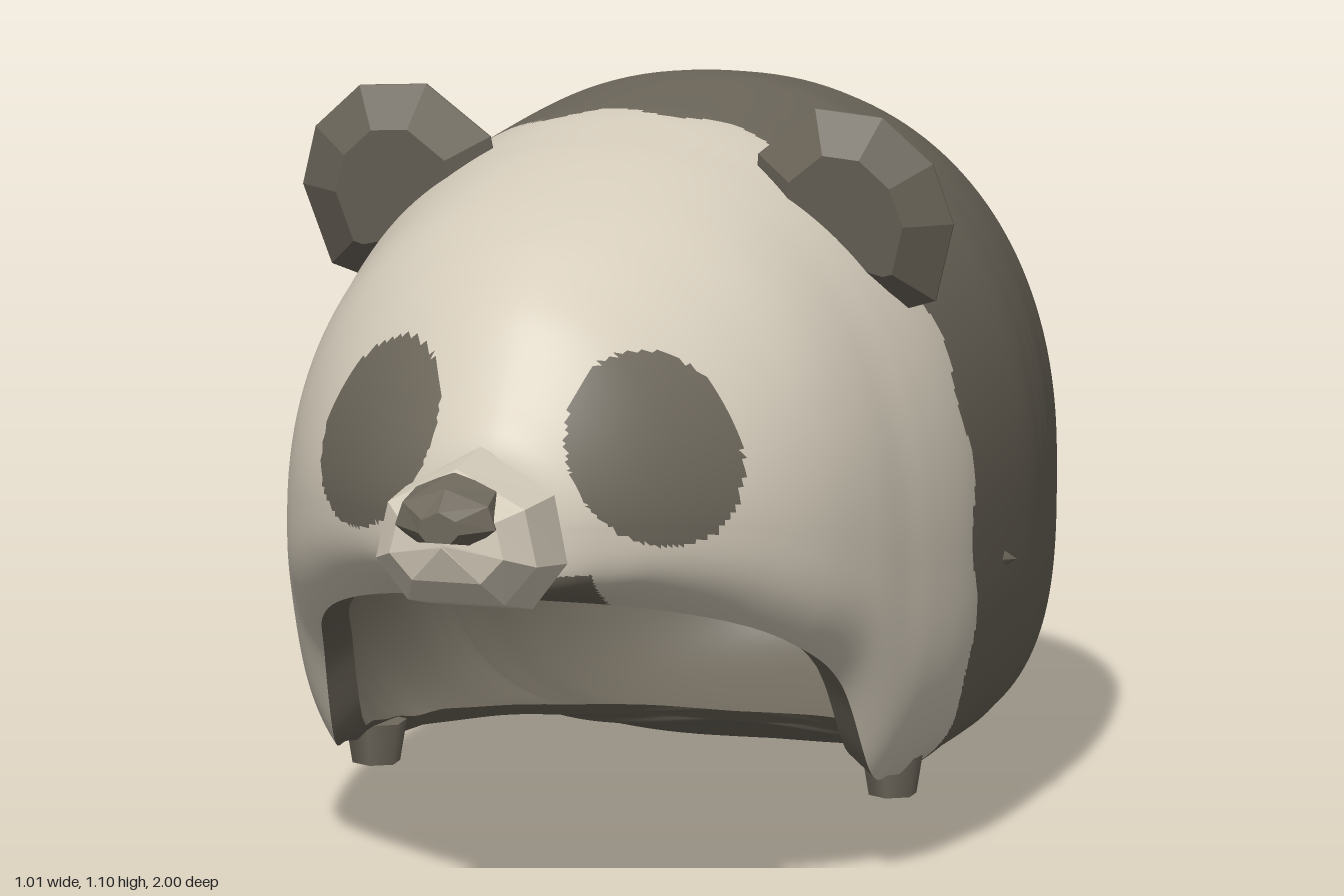
import * as THREE from 'three';

const light = new THREE.MeshStandardMaterial({ color: 0xd8cfbe, side: THREE.DoubleSide });
light.name = 'cream fur';
const dark = new THREE.MeshStandardMaterial({ color: 0x6e685c, side: THREE.DoubleSide });
dark.name = 'dark fur';

// Stations along the body: z, half width, top, widest height, bottom, half width of the opening
const stations = [
  [-1, 0, 0.42, 0.4, 0.38, 0], [-0.985, 0.11, 0.59, 0.42, 0.22, 0],
  [-0.94, 0.21, 0.73, 0.43, 0.09, 0], [-0.82, 0.35, 0.87, 0.44, 0.02, 0],
  [-0.68, 0.42, 0.96, 0.45, 0, 0], [-0.56, 0.45, 1.005, 0.45, 0.015, 0],
  [-0.5, 0.463, 1.02, 0.45, 0.025, 0], [-0.48, 0.466, 1.025, 0.45, 0.03, 0.13],
  [-0.43, 0.473, 1.035, 0.45, 0.035, 0.23], [-0.33, 0.483, 1.05, 0.45, 0.05, 0.3],
  [-0.1, 0.488, 1.06, 0.45, 0.08, 0.37], [0, 0.487, 1.06, 0.45, 0.12, 0.4],
  [0.1, 0.475, 1.05, 0.46, 0.14, 0.405], [0.18, 0.46, 1.04, 0.47, 0.16, 0.4],
  [0.28, 0.44, 1.02, 0.5, 0.31, 0.385], [0.4, 0.4, 0.99, 0.54, 0.39, 0.35],
  [0.5, 0.345, 0.955, 0.58, 0.44, 0.28], [0.6, 0.265, 0.895, 0.6, 0.475, 0.16],
  [0.68, 0.18, 0.79, 0.61, 0.495, 0], [0.73, 0.1, 0.72, 0.61, 0.52, 0],
  [0.745, 0, 0.62, 0.61, 0.6, 0],
];
const curveOf = (a, b, c) => new THREE.CatmullRomCurve3(
  stations.map((s) => new THREE.Vector3(s[a], s[b], s[c])), false, 'catmullrom', 0.5);
const outlineCurve = curveOf(0, 1, 2);
const openingCurve = curveOf(3, 4, 5);
const smooth = THREE.MathUtils.smoothstep;

// Point on the shell: u runs back to front, s from -1 (right rim) over the top to 1 (left rim)
function shellPoint(u, s, inner) {
  const { x: z, y: w0, z: top } = outlineCurve.getPoint(u);
  const { x: mid, y: bottom, z: r0 } = openingCurve.getPoint(u);
  const w = Math.max(0, w0);
  const r = Math.min(Math.max(0, r0), w);
  const t = Math.abs(s) * 2;
  let x, y;
  if (t <= 1) {
    // Upper half, flatter towards the face
    const e = 0.92 + 0.22 * smooth(z, 0.3, 0.6);
    const a = t * Math.PI / 2;
    x = w * Math.sin(a) ** e;
    y = mid + (top - mid) * Math.max(0, Math.cos(a)) ** e;
  } else {
    // Lower half, cut off at the opening, with the back rim curling up
    const e = 0.64;
    const rimAngle = w > 0 ? Math.acos((r / w) ** (1 / e)) : Math.PI / 2;
    const a = (t - 1) * rimAngle;
    const lift = 0.045 * smooth(z, -0.75, -0.48) * (1 - smooth(z, -0.15, 0.05));
    x = w * Math.max(0, Math.cos(a)) ** e;
    y = mid - (mid - bottom) * (Math.sin(a) / Math.max(0.01, Math.sin(rimAngle))) ** e + lift * (t - 1) ** 4;
  }
  const k = inner ? 0.95 - 0.05 * smooth(z, -0.4, 0.1) : 1;
  return [Math.sign(s) * x * k, mid + (y - mid) * k, inner ? z * 0.96 : z];
}

// Grid surface; isDark sorts each triangle into the cream or the dark group
function grid(point, nu, nv, isDark) {
  const pos = [];
  for (let i = 0; i <= nu; i++) for (let j = 0; j <= nv; j++) pos.push(...point(i / nu, j / nv));
  const lists = [[], []];
  const add = (...tri) => {
    const c = [0, 1, 2].map((k) => tri.reduce((sum, v) => sum + pos[v * 3 + k] / 3, 0));
    lists[isDark(...c) ? 1 : 0].push(...tri);
  };
  for (let i = 0; i < nu; i++) {
    for (let j = 0; j < nv; j++) {
      const a = i * (nv + 1) + j;
      const b = a + nv + 1;
      add(a, b, a + 1);
      add(b, b + 1, a + 1);
    }
  }
  const geo = new THREE.BufferGeometry();
  geo.setAttribute('position', new THREE.Float32BufferAttribute(pos, 3));
  geo.setIndex([...lists[0], ...lists[1]]);
  geo.addGroup(0, lists[0].length, 0);
  geo.addGroup(lists[0].length, lists[1].length, 1);
  geo.computeVertexNormals();
  return geo;
}

// Dark back half, the chin patch and the two tilted eye patches
function furIsDark(x, y, z) {
  if (z < -0.035 + 0.015 * Math.sin(x * 37) + 0.015 * Math.sin(y * 31)) return true;
  if (z < 0.3) return false;
  if (z > 0.6 && y < 0.54 && Math.abs(x) < 0.14) return true;
  const dx = Math.abs(x) - 0.205;
  const dy = y - 0.708;
  const along = -0.5 * dx + 0.866 * dy;
  const across = 0.866 * dx + 0.5 * dy;
  return (along / 0.147) ** 2 + (across / 0.094) ** 2 < 1;
}

// Faceted loft along z; rings hold z, half width, top, bottom
const facetOutline = [[0, 1], [0.85, 0.45], [1, -0.4], [0.6, -1], [-0.6, -1], [-1, -0.4], [-0.85, 0.45], [0, 1]];
function facetLoft(rings) {
  const n = rings.length - 1;
  const geo = grid((u, v) => {
    const [z, w, top, bottom] = rings[Math.round(u * n)];
    const [px, py] = facetOutline[Math.round(v * 7)];
    return [px * w, (top + bottom) / 2 + py * (top - bottom) / 2, z];
  }, n, 7, () => false).toNonIndexed();
  geo.clearGroups();
  geo.computeVertexNormals();
  return geo;
}

// Nine-sided ear with a thin edge, leaning forward at the top
function earGeometry(side) {
  const shape = new THREE.Shape([
    [0.19, 0.95], [0.2, 1.03], [0.29, 1.105], [0.39, 1.097], [0.46, 1.03],
    [0.485, 0.94], [0.45, 0.82], [0.39, 0.8], [0.31, 0.82],
  ].map(([x, y]) => new THREE.Vector2(x * side, y)));
  const geo = new THREE.ExtrudeGeometry(shape, {
    depth: 0.004, bevelEnabled: true, bevelSize: 0.06, bevelOffset: -0.06, bevelThickness: 0.045, bevelSegments: 1,
  });
  const p = geo.attributes.position;
  for (let i = 0; i < p.count; i++) p.setZ(i, p.getZ(i) + 0.015 + (p.getY(i) - 0.8) * 0.23);
  geo.computeVertexNormals();
  return geo;
}

export function createModel() {
  const model = new THREE.Group();
  const add = (name, geo, material, x = 0, y = 0, z = 0) => {
    const mesh = new THREE.Mesh(geo, material);
    mesh.name = name;
    mesh.position.set(x, y, z);
    model.add(mesh);
    return mesh;
  };
  const fur = [light, dark];
  const always = () => true;

  // Hollow head and back, with lining and rim
  add('outerShell', grid((u, v) => shellPoint(u, v * 2 - 1, false), 260, 160, furIsDark), fur);
  add('lining', grid((u, v) => shellPoint(u, 1 - v * 2, true), 80, 64, always), fur);
  for (const side of [-1, 1]) {
    add(side > 0 ? 'leftRim' : 'rightRim',
      grid((u, v) => shellPoint(u, side, side > 0 ? v > 0.5 : v < 0.5), 120, 1, always), fur);
  }

  // Muzzle and nose
  add('muzzle', facetLoft([
    [0.62, 0.09, 0.7, 0.51], [0.73, 0.1, 0.715, 0.5], [0.79, 0.13, 0.738, 0.505],
    [0.91, 0.12, 0.73, 0.535], [0.96, 0.085, 0.7, 0.575], [0.985, 0, 0.64, 0.63],
  ]), light);
  add('nose', facetLoft([
    [0.91, 0.07, 0.728, 0.63], [0.965, 0.075, 0.712, 0.632], [1, 0.03, 0.685, 0.64], [1, 0, 0.66, 0.66],
  ]), dark);

  // Ears, side tufts and paws
  for (const side of [-1, 1]) {
    const label = side > 0 ? 'left' : 'right';
    add(label + 'Ear', earGeometry(side), dark);
    add(label + 'Tuft', new THREE.ConeGeometry(0.03, 0.05, 4), dark, side * 0.48, 0.4, -0.2)
      .rotation.z = -side * Math.PI / 2;
    add(label + 'Paw', new THREE.CylinderGeometry(0.045, 0.035, 0.06, 6), dark, side * 0.385, 0.125, 0.02);
  }

  // Small tail
  add('tail', new THREE.ConeGeometry(0.035, 0.1, 4), dark, 0, 0.74, -0.93).rotation.x = -1.3;
  return model;
}
